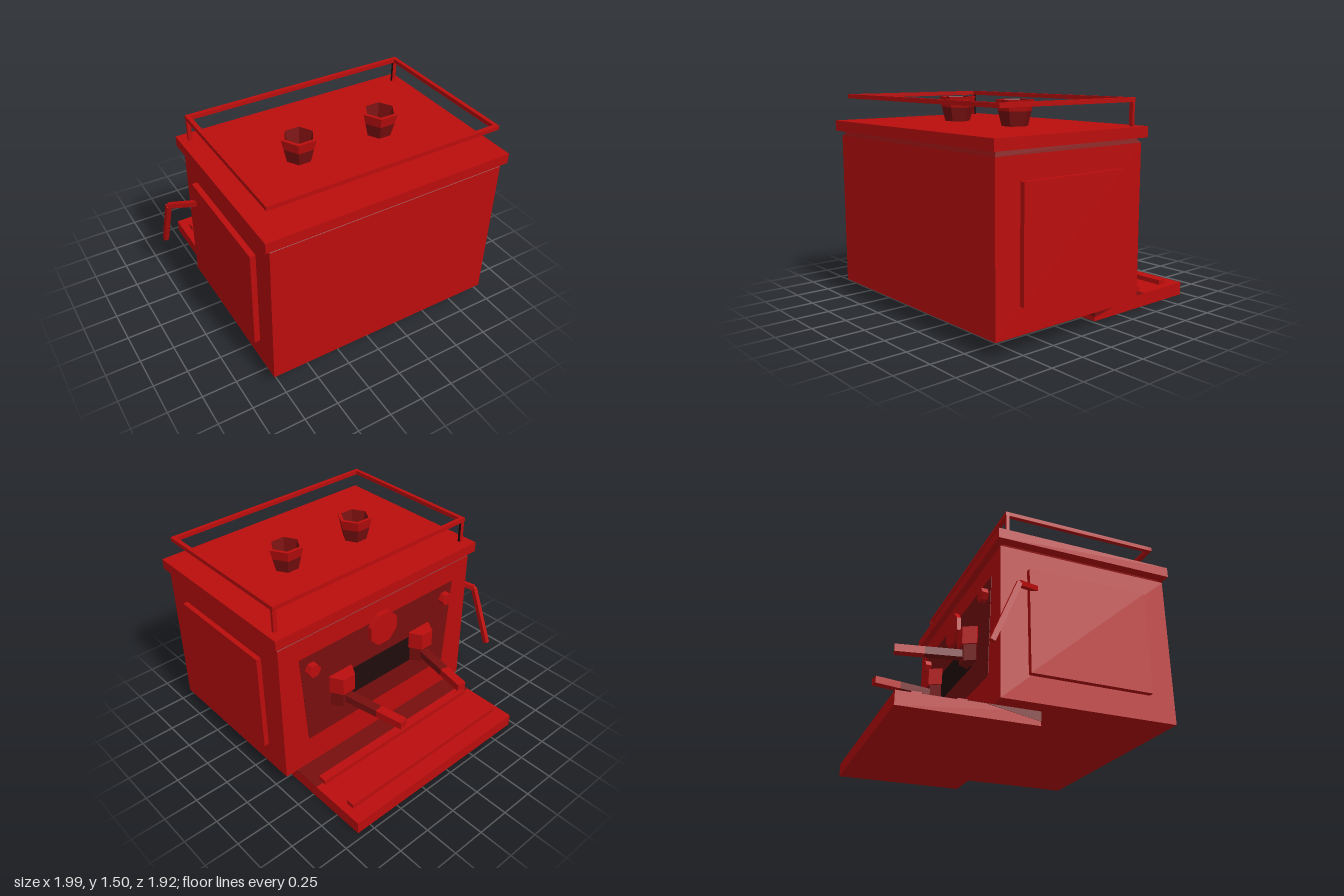
import * as THREE from 'three';

const mat = (name, color) => {
  const m = new THREE.MeshStandardMaterial({ color });
  m.name = name;
  return m;
};

export function createModel() {
  const group = new THREE.Group();
  const red = mat('red', 0xbb0d0d);
  const darkRed = mat('dark red', 0x780e0e);
  const black = mat('black', 0x200c0c);
  const CX = 0.08; // middle of the body

  const add = (name, geo, material) => {
    const mesh = new THREE.Mesh(geo, material);
    mesh.name = name;
    group.add(mesh);
    return mesh;
  };
  // Box given by its limits
  const box = (name, x0, x1, y0, y1, z0, z1, material = red) => {
    const geo = new THREE.BoxGeometry(x1 - x0, y1 - y0, z1 - z0);
    geo.translate((x0 + x1) / 2, (y0 + y1) / 2, (z0 + z1) / 2);
    return add(name, geo, material);
  };
  // Faceted version of a geometry
  const flat = (geo) => {
    const g = geo.index ? geo.toNonIndexed() : geo;
    g.computeVertexNormals();
    return g;
  };
  // Straight bar between two points
  const bar = (name, a, b, w, h, material = red) => {
    const mesh = add(name, new THREE.BoxGeometry(w, h, a.distanceTo(b)), material);
    mesh.position.copy(a).add(b).multiplyScalar(0.5);
    mesh.lookAt(b);
    return mesh;
  };
  // Thin plate outlined in x and y, lying on the back of the body
  const backPlate = (name, pts, z, material) => {
    const shape = new THREE.Shape(pts.map(([x, y]) => new THREE.Vector2(x, y)));
    const geo = new THREE.ExtrudeGeometry(shape, { depth: 0.004, bevelEnabled: false });
    geo.translate(0, 0, z);
    return add(name, geo, material);
  };

  // Body, sloping neck and top slab
  box('body', -0.80, 0.96, 0.11, 1.2, -0.33, 0.93);
  const neck = new THREE.BoxGeometry(1.76, 0.04, 1.26);
  const p = neck.attributes.position;
  for (let i = 0; i < p.count; i++) {
    if (p.getY(i) > 0) {
      p.setX(i, p.getX(i) - Math.sign(p.getX(i)) * 0.035);
      p.setZ(i, p.getZ(i) - Math.sign(p.getZ(i)) * 0.035);
    }
  }
  neck.translate(CX, 1.22, 0.30);
  add('neck', flat(neck), darkRed);
  box('topSlab', -0.84, 0.99, 1.235, 1.31, -0.36, 0.96);

  // Side panels
  box('leftSidePanel', 0.95, 0.995, 0.29, 1.045, -0.14, 0.74);
  box('rightSidePanel', -0.84, -0.79, 0.29, 1.045, -0.14, 0.74);

  // Cup rail on two posts
  box('railBack', -0.785, 0.94, 1.47, 1.5, -0.285, -0.255);
  box('railFront', -0.785, 0.94, 1.47, 1.5, 0.85, 0.88);
  box('railRight', -0.785, -0.755, 1.47, 1.5, -0.255, 0.85);
  box('railLeft', 0.91, 0.94, 1.47, 1.5, -0.255, 0.85);
  box('rightPost', -0.785, -0.755, 1.31, 1.47, -0.28, -0.26, [black, red, red, red, red, red]);
  box('leftPost', 0.91, 0.94, 1.31, 1.47, -0.28, -0.26, [red, black, red, red, red, red]);

  // Hollow six-sided cups
  const lathe = (name, pts, x, material) => {
    const geo = new THREE.LatheGeometry(pts.map(([r, y]) => new THREE.Vector2(r, y)), 6);
    geo.rotateY(Math.PI / 6);
    geo.translate(x, 1.31, 0.295);
    add(name, flat(geo), material);
  };
  for (const x of [CX - 0.318, CX + 0.318]) {
    lathe('cupBase', [[0.09, 0], [0.114, 0.1]], x, darkRed);
    lathe('cupRim', [[0.114, 0.1], [0.132, 0.175], [0.105, 0.175]], x, red);
    lathe('cupInside', [[0.105, 0.175], [0.075, 0.04], [0, 0.04]], x, darkRed);
  }

  // Drip tray with its shaded end under the body
  box('tray', -0.71, 0.86, 0, 0.095, -0.96, -0.02);
  box('trayInnerTop', -0.71, 0.86, 0.095, 0.098, -0.53, -0.02, darkRed);
  box('trayInnerEnd', -0.71, 0.86, 0.035, 0.098, -0.02, -0.017, darkRed);
  for (const x of [-0.713, 0.86]) {
    const wedge = new THREE.Shape([[0.02, 0.03], [0.38, 0.095], [0.02, 0.095]]
      .map(([a, b]) => new THREE.Vector2(a, b)));
    const geo = new THREE.ExtrudeGeometry(wedge, { depth: 0.003, bevelEnabled: false });
    geo.rotateY(Math.PI / 2);
    geo.translate(x, 0, 0);
    add('trayInnerSide', geo, darkRed);
  }
  box('trayBar', -0.65, 0.80, 0.09, 0.13, -0.845, -0.78);
  box('trayBar', -0.65, 0.80, 0.09, 0.13, -0.555, -0.49);
  box('trayBar', -0.65, 0.80, 0.09, 0.109, -0.27, -0.205, darkRed);

  // Back panel and dark slot
  backPlate('backPanel', [[CX - 0.72, 1.05], [CX - 0.67, 0.34],
    [CX + 0.67, 0.34], [CX + 0.72, 1.05]], -0.333, darkRed);
  backPlate('backSlot', [[CX - 0.30, 0.75], [CX - 0.36, 0.53],
    [CX + 0.36, 0.53], [CX + 0.30, 0.75]], -0.336, black);

  // Gauge and knobs
  const knob = (name, x, y, r, depth, sides) => {
    const geo = new THREE.CylinderGeometry(r, r, depth, sides);
    geo.rotateY(Math.PI / sides);
    geo.rotateX(Math.PI / 2);
    geo.translate(x, y, -0.325 - depth / 2);
    add(name, flat(geo), red);
  };
  knob('gauge', CX, 0.98, 0.132, 0.04, 8);
  for (const s of [-1, 1]) knob('steamKnob', CX + s * 0.63, 0.945, 0.05, 0.055, 6);

  // Brewing heads with handles
  const head = (name, x, y0, y1, r, material) => {
    const geo = new THREE.CylinderGeometry(r, r, y1 - y0, 6);
    geo.rotateY(Math.PI / 6);
    geo.translate(x, (y0 + y1) / 2, -0.34);
    add(name, flat(geo), material);
  };
  for (const s of [-1, 1]) {
    const x = CX + s * 0.38;
    head('brewHead', x, 0.66, 0.79, 0.102, red);
    head('filterHolder', x, 0.54, 0.66, 0.085, darkRed);
    const a = new THREE.Vector3(x, 0.603, -0.36);
    const b = new THREE.Vector3(CX + s * 0.285, 0.603, -0.86);
    const mid = a.clone().lerp(b, 0.6);
    bar('handleRoot', a, mid, 0.065, 0.055, darkRed);
    bar('handleGrip', mid, b, 0.065, 0.055);
  }

  // Bent steam wand
  const w = [[-0.79, 0.925, -0.05], [-0.98, 0.82, -0.28], [-0.98, 0.385, -0.46]]
    .map((q) => new THREE.Vector3(...q));
  bar('wandArm', w[0], w[1], 0.035, 0.035);
  bar('wandTip', w[1], w[2], 0.035, 0.035);
  const joint = add('wandJoint', new THREE.IcosahedronGeometry(0.02, 0), red);
  joint.position.copy(w[1]);

  return group;
}
